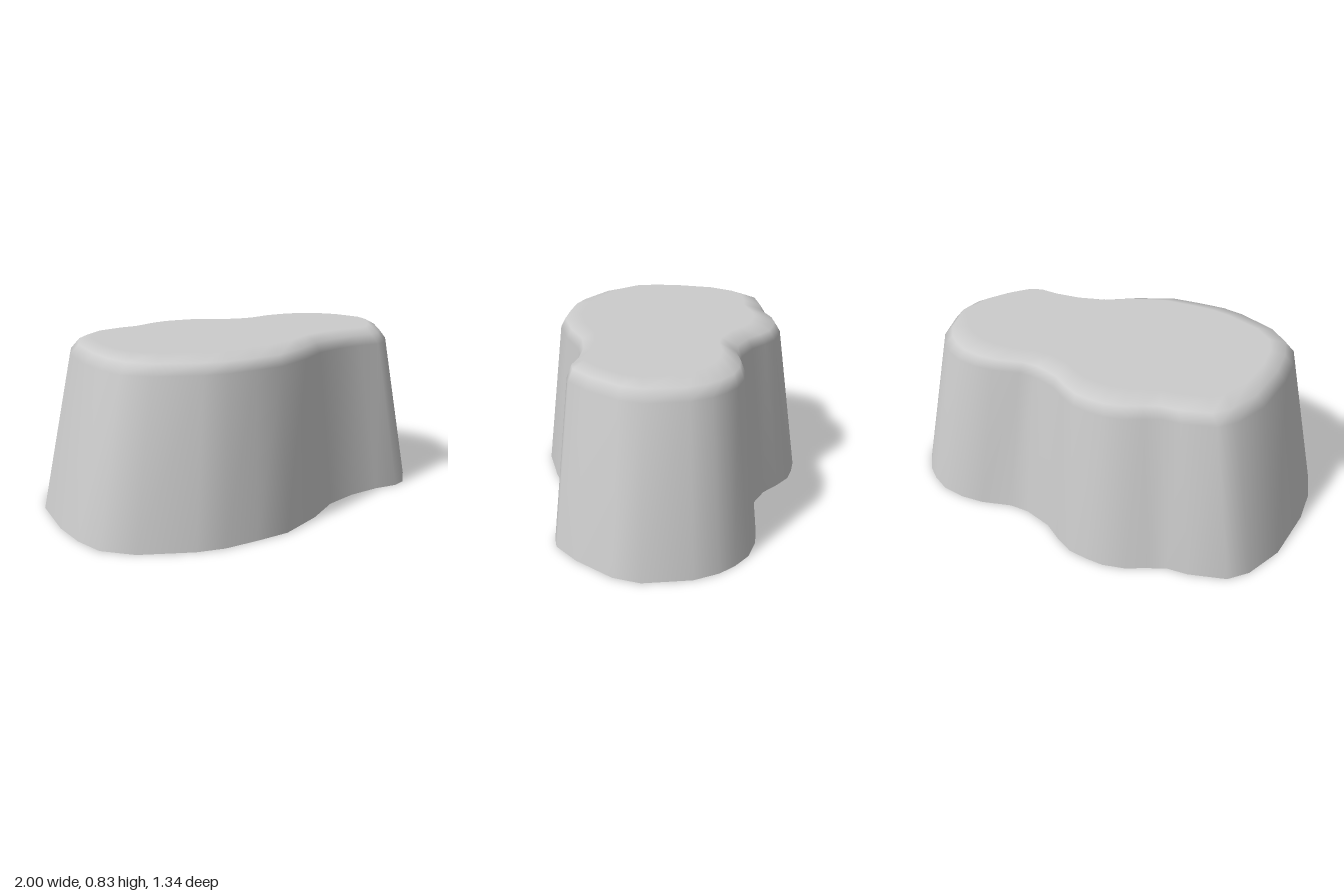
import * as THREE from 'three';

// Base outline as x, z pairs, running from the left side round the front
const outline = [
  [1.0, -0.19], [0.99, -0.06], [0.9, 0.135], [0.81, 0.26], [0.745, 0.29], [0.62, 0.29],
  [0.455, 0.32], [0.29, 0.385], [0.13, 0.51], [-0.08, 0.625], [-0.245, 0.65], [-0.41, 0.667],
  [-0.54, 0.65], [-0.785, 0.565], [-0.915, 0.455], [-0.97, 0.31], [-1.0, 0.125], [-1.0, -0.17],
  [-0.94, -0.365], [-0.87, -0.455], [-0.7, -0.52], [-0.6, -0.535], [-0.52, -0.58],
  [-0.43, -0.635], [-0.33, -0.667], [-0.24, -0.67], [-0.145, -0.663], [-0.05, -0.62],
  [0.045, -0.565], [0.19, -0.53], [0.29, -0.535], [0.43, -0.587], [0.55, -0.604],
  [0.67, -0.593], [0.765, -0.55], [0.84, -0.497], [0.92, -0.4],
];

// Levels of the wall: height, x scale, z scale
const levels = [
  [0, 1, 1], [0.755, 0.847, 0.85], [0.803, 0.805, 0.808], [0.833, 0.745, 0.657],
];

export function createModel() {
  const n = outline.length;
  const top = (levels.length - 1) * n;
  const positions = [];
  const index = [];

  // Rings of the tapered wall and rounded shoulder
  for (const [y, sx, sz] of levels) {
    for (const [x, z] of outline) positions.push(x * sx, y, z * sz);
  }
  for (let r = 0; r < levels.length - 1; r++) {
    for (let i = 0; i < n; i++) {
      const a = r * n + i;
      const b = r * n + (i + 1) % n;
      index.push(a, a + n, b, b, a + n, b + n);
    }
  }

  // Flat top as a fan, underside left open
  const center = positions.length / 3;
  positions.push(0, levels[levels.length - 1][0], 0);
  for (let i = 0; i < n; i++) index.push(center, top + (i + 1) % n, top + i);

  const geometry = new THREE.BufferGeometry();
  geometry.setAttribute('position', new THREE.Float32BufferAttribute(positions, 3));
  geometry.setIndex(index);
  geometry.computeVertexNormals();
  // Keep the top evenly flat while the shoulder blends into it
  for (let i = top; i <= center; i++) geometry.attributes.normal.setXYZ(i, 0, 1, 0);

  const material = new THREE.MeshStandardMaterial({ color: 0xcccccc, side: THREE.DoubleSide });
  const shell = new THREE.Mesh(geometry, material);
  shell.name = 'moundShell';

  const group = new THREE.Group();
  group.name = 'flatToppedMound';
  group.add(shell);
  return group;
}
